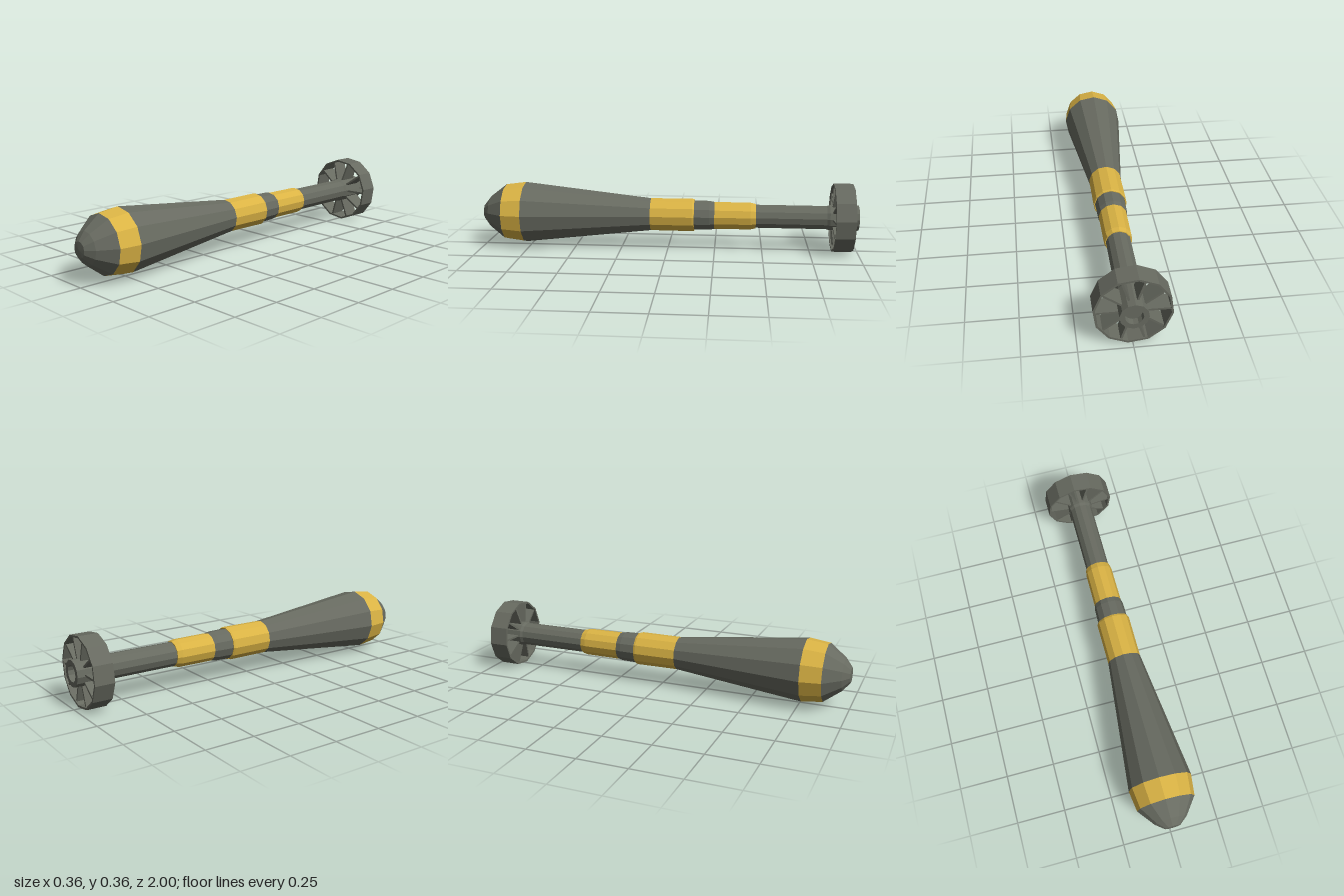
import * as THREE from 'three';

const AXIS_Y = 0.18;
const SIDES = 12;

const grey = new THREE.MeshStandardMaterial({ color: 0x676a60 });
grey.name = 'olive grey';
const yellow = new THREE.MeshStandardMaterial({ color: 0xdab344 });
yellow.name = 'band yellow';

// Faceted mesh with one normal per face
function faceted(name, geometry, material) {
  const g = geometry.index ? geometry.toNonIndexed() : geometry;
  g.computeVertexNormals();
  const mesh = new THREE.Mesh(g, material);
  mesh.name = name;
  return mesh;
}

// Turned part along z; profile is [radius, z] from back to front
function turned(name, profile, material, twist = 4) {
  const points = profile.map(([r, z]) => new THREE.Vector2(r, z));
  const g = new THREE.LatheGeometry(points, SIDES, THREE.MathUtils.degToRad(twist));
  g.rotateX(Math.PI / 2);
  return faceted(name, g, material);
}

export function createModel() {
  const model = new THREE.Group();
  model.name = 'finnedShell';
  const body = new THREE.Group();
  body.name = 'body';
  body.position.y = AXIS_Y;
  model.add(body);

  // Body, from nose to tail
  body.add(
    turned('nose', [[0.149, 0.877], [0.083, 0.963], [0.04, 0.997], [0, 1]], grey),
    turned('noseBand', [[0.163, 0.77], [0.149, 0.877]], yellow),
    turned('taperedCase', [[0.087, 0.092], [0.163, 0.77]], grey),
    turned('middleBand', [[0.077, -0.132], [0.081, -0.14], [0.085, -0.14], [0.088, -0.13], [0.087, 0.092]], yellow),
    turned('collar', [[0.073, -0.247], [0.078, -0.22], [0.08, -0.13]], grey),
    turned('rearBand', [[0.062, -0.465], [0.066, -0.465], [0.072, -0.437], [0.073, -0.247]], yellow),
    turned('tailTube', [
      [0, -0.965], [0.042, -0.965], [0.042, -1], [0.067, -1],
      [0.067, -0.85], [0.062, -0.835], [0.062, -0.46],
    ], grey),
  );

  // Tail ring, a closed hollow band
  const tail = new THREE.Group();
  tail.name = 'tailFins';
  tail.add(turned('tailRing', [
    [0.171, -0.968], [0.181, -0.968], [0.181, -0.867], [0.171, -0.867], [0.171, -0.968],
  ], grey, 7));

  // Ten radial fins between tube and ring
  const finShape = new THREE.Shape([
    [0.055, -0.962], [0.17, -0.962], [0.17, -0.873], [0.055, -0.862],
  ].map(([r, z]) => new THREE.Vector2(r, -z)));
  for (let i = 0; i < 10; i++) {
    const g = new THREE.ExtrudeGeometry(finShape, { depth: 0.01, bevelEnabled: false });
    g.translate(0, 0, -0.005);
    g.rotateX(-Math.PI / 2);
    g.rotateZ((i * Math.PI) / 5);
    tail.add(faceted('fin', g, grey));
  }
  body.add(tail);
  return model;
}
